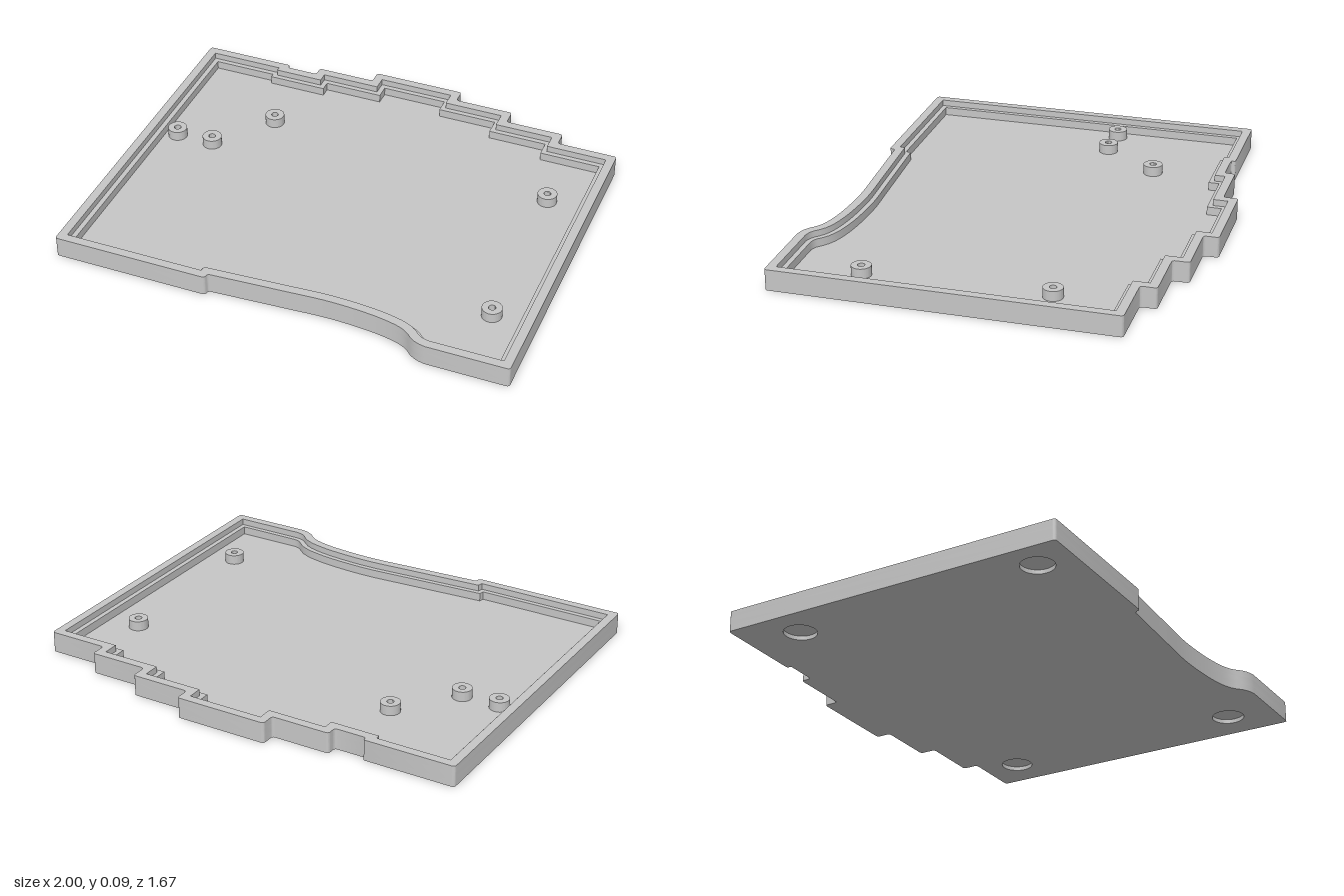
import * as THREE from 'three';
import { toCreasedNormals } from 'three/addons/utils/BufferGeometryUtils.js';

const HEIGHT = 0.091, FLOOR = 0.027, LEDGE = 0.063, RECESS = 0.018, POST_TOP = 0.07;

// Plan outline as (x, z), clockwise seen from above, starting at the back left corner
function planOutline() {
  const steps = [
    [-1, -0.747], [-0.6, -0.747], [-0.6, -0.727], [-0.46, -0.727], [-0.46, -0.773],
    [-0.2, -0.773], [-0.2, -0.836], [0.21, -0.836], [0.21, -0.771], [0.473, -0.771],
    [0.473, -0.698], [0.733, -0.698], [0.733, -0.628], [1, -0.628], [1, 0.836],
  ];
  const curve = new THREE.CatmullRomCurve3([
    [0.65, 0.836], [0.612, 0.827], [0.58, 0.808], [0.555, 0.784], [0.52, 0.766], [0.45, 0.748],
    [0.35, 0.735], [0.2, 0.728], [0, 0.738], [-0.315, 0.756],
  ].map(([x, z]) => new THREE.Vector3(x, 0, z)));
  const sweep = curve.getSpacedPoints(40).map((p) => [p.x, p.z]);
  const end = [[-0.32, 0.781], [-1, 0.781]];
  return [...steps, ...sweep, ...end].map(([x, z]) => new THREE.Vector2(x, -z));
}

// Inward mitred offset of the outline, wound the other way for use as a hole
function inset(points, d) {
  const n = points.length;
  const normal = (a, b) => {
    const t = b.clone().sub(a).normalize();
    return new THREE.Vector2(t.y, -t.x);
  };
  return points.map((p, i) => {
    const n1 = normal(points[(i + n - 1) % n], p);
    const n2 = normal(p, points[(i + 1) % n]);
    return p.clone().addScaledVector(n1.clone().add(n2), d / (1 + n1.dot(n2)));
  }).reverse();
}

// Small fillets on the sharp corners, limited by the shorter neighbouring edge
function roundCorners(points, radius) {
  const n = points.length;
  return points.flatMap((p, i) => {
    const a = points[(i + n - 1) % n].clone().sub(p);
    const b = points[(i + 1) % n].clone().sub(p);
    const r = Math.min(radius, 0.45 * a.length(), 0.45 * b.length());
    a.normalize();
    b.normalize();
    if (a.dot(b) < -0.8) return [p];
    const start = p.clone().addScaledVector(a, r), stop = p.clone().addScaledVector(b, r);
    return new THREE.QuadraticBezierCurve(start, p, stop).getPoints(5);
  });
}

function circle(x, z, r) {
  return new THREE.Path().absarc(x, -z, r, 0, Math.PI * 2).getPoints(32).slice(0, -1);
}

// Horizontal slab between two heights, with optional holes
function slab(name, outline, holes, y0, y1, material) {
  const shape = new THREE.Shape(outline);
  shape.holes = holes.map((h) => new THREE.Path(h));
  const geometry = new THREE.ExtrudeGeometry(shape, { depth: y1 - y0, bevelEnabled: false });
  geometry.rotateX(-Math.PI / 2).translate(0, y0, 0);
  const mesh = new THREE.Mesh(toCreasedNormals(geometry, 0.5), material);
  mesh.name = name;
  return mesh;
}

export function createModel() {
  const group = new THREE.Group();
  group.name = 'caseTray';
  const grey = new THREE.MeshStandardMaterial({ color: 0xc6c6c6 });
  grey.name = 'grey';

  const plan = planOutline();
  const outer = roundCorners(plan, 0.014);

  // Underside with round recesses for feet
  const feet = [[0.82, -0.46], [-0.845, -0.5], [-0.855, 0.62], [0.82, 0.63]];
  group.add(slab('underside', outer, feet.map(([x, z]) => circle(x, z, 0.07)), 0, RECESS, grey));
  group.add(slab('floor', outer, [], RECESS, FLOOR, grey));

  // Perimeter wall, stepped to form an inner ledge
  group.add(slab('ledgeWall', outer, [inset(plan, 0.06)], FLOOR, LEDGE, grey));
  group.add(slab('rimWall', outer, [inset(plan, 0.038)], LEDGE, HEIGHT, grey));

  // Hollow screw posts
  const posts = [[-0.52, -0.39], [-0.883, -0.139], [-0.713, -0.137], [0.792, -0.294], [0.812, 0.496]];
  for (const [x, z] of posts) {
    group.add(slab('screwPost', circle(x, z, 0.042), [circle(x, z, 0.015)], FLOOR, POST_TOP, grey));
  }
  return group;
}
